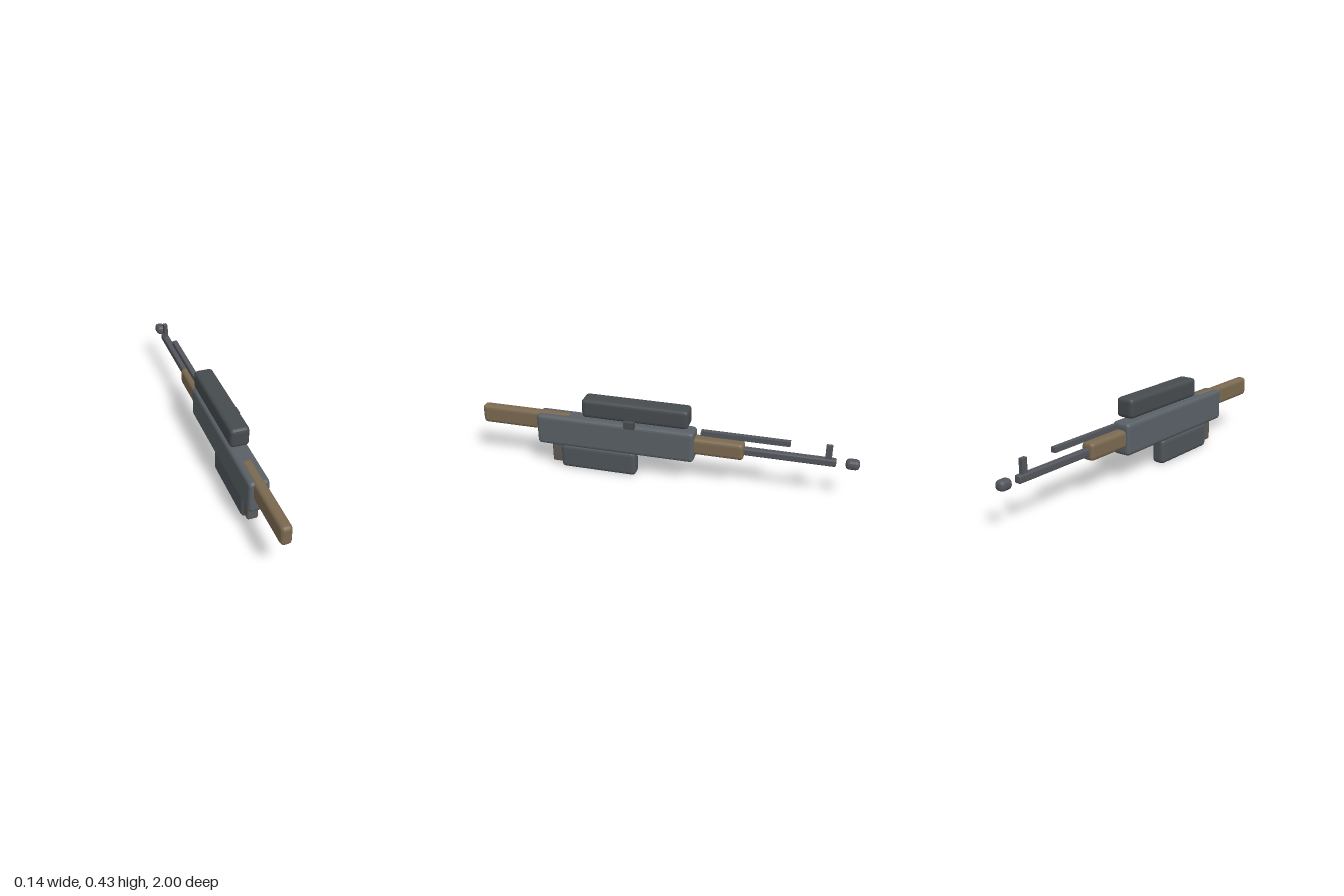
import * as THREE from 'three';
import { RoundedBoxGeometry } from 'three/addons/geometries/RoundedBoxGeometry.js';

const material = (color) => new THREE.MeshStandardMaterial({ color, flatShading: true });

export function createModel() {
  const model = new THREE.Group();
  const steel = material(0x596066);
  const darkSteel = material(0x464b4f);
  const barrelSteel = material(0x53565c);
  const magazineSteel = material(0x4f555b);
  const wood = material(0x7b6950);
  const gripGrey = material(0x5e5957);

  // Block spanning the given ranges; a radius above 0 bevels its edges
  function block(name, mat, [x0, x1], [y0, y1], [z0, z1], radius = 0) {
    const w = x1 - x0, h = y1 - y0, d = z1 - z0;
    const geometry = radius > 0
      ? new RoundedBoxGeometry(w, h, d, 2, radius)
      : new THREE.BoxGeometry(w, h, d);
    const mesh = new THREE.Mesh(geometry, mat);
    mesh.name = name;
    mesh.position.set((x0 + x1) / 2, (y0 + y1) / 2, (z0 + z1) / 2);
    model.add(mesh);
  }

  // Body
  block('receiver', steel, [-0.07, 0.034], [0.136, 0.306], [-0.17, 0.682], 0.02);
  block('stock', wood, [-0.046, 0.01], [0.207, 0.31], [0.5, 1], 0.02);
  block('handguard', wood, [-0.054, 0.018], [0.178, 0.27], [-0.425, -0.15], 0.02);

  // Under the receiver
  block('magazine', magazineSteel, [-0.055, 0.019], [0, 0.138], [0.145, 0.56], 0.022);
  block('grip', gripGrey, [-0.046, 0.01], [0.027, 0.16], [0.49, 0.61], 0.01);

  // Scope and side knob
  block('scope', darkSteel, [-0.068, 0.031], [0.322, 0.425], [-0.14, 0.427], 0.02);
  block('sideKnob', darkSteel, [0.041, 0.069], [0.307, 0.344], [0.134, 0.188]);

  // Barrel group
  block('barrel', barrelSteel, [-0.036, 0], [0.204, 0.242], [-0.886, -0.4], 0.008);
  block('upperRod', barrelSteel, [-0.031, -0.005], [0.284, 0.31], [-0.655, -0.2]);
  block('frontSight', barrelSteel, [-0.028, -0.008], [0.235, 0.315], [-0.862, -0.83]);
  block('muzzle', barrelSteel, [-0.044, 0.008], [0.2, 0.251], [-1, -0.931], 0.02);

  return model;
}
